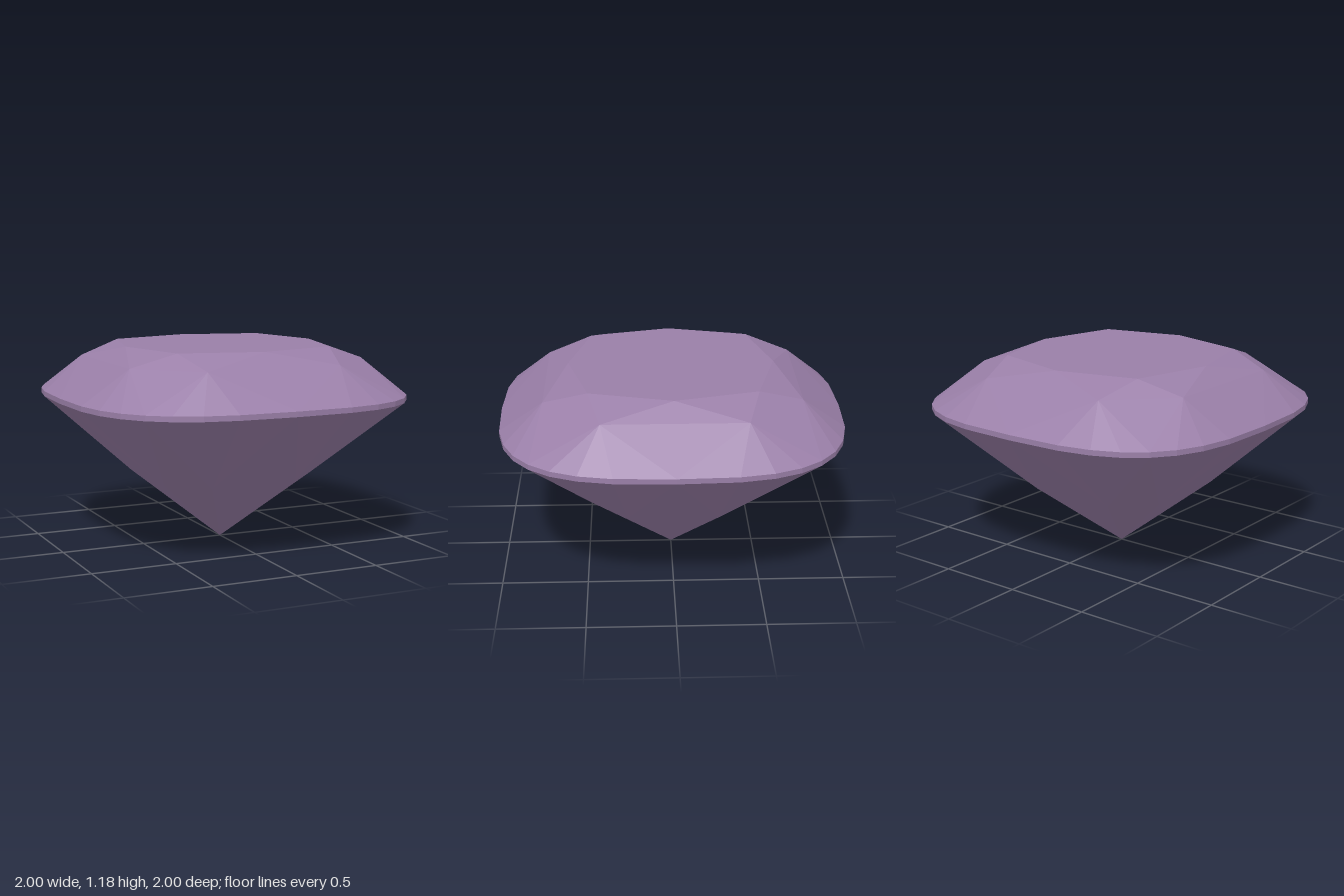
import * as THREE from 'three';

const SIDES = 32;

// Point on a cushion outline (superellipse), step counted in 32nds of a turn
function cushion(step, scale, y) {
  const a = ((step % SIDES) / SIDES) * Math.PI * 2;
  const round = v => Math.sign(v) * Math.pow(Math.abs(v), 2 / 3) * scale;
  return new THREE.Vector3(round(Math.sin(a)), y, round(Math.cos(a)));
}

// Unshared corners keep every facet flat
function facets(name, triangles, material) {
  const geometry = new THREE.BufferGeometry().setFromPoints(triangles.flat());
  geometry.computeVertexNormals();
  const mesh = new THREE.Mesh(geometry, material);
  mesh.name = name;
  return mesh;
}

export function createModel() {
  const gem = new THREE.Group();
  gem.name = 'cushionCutGem';
  const violet = new THREE.MeshStandardMaterial({ color: 0x9a7fa8, flatShading: true });
  violet.name = 'violet';

  const tablePoint = j => cushion(4 * j, 0.6, 1.18);
  const crownPoint = j => cushion(4 * j + 2 + SIDES, 0.77, 1.1);
  const girdleTop = i => cushion(i, 1, 0.9);
  const girdleLow = i => cushion(i, 1, 0.87);
  const pavilionPoint = j => cushion(4 * j + 2 + SIDES, 0.5, 0.4);
  const culet = new THREE.Vector3(0, 0, 0);

  const table = [], crown = [], girdle = [], pavilion = [];
  for (let j = 0; j < 8; j++) {
    // Flat top
    if (j > 0 && j < 7) table.push([tablePoint(0), tablePoint(j), tablePoint(j + 1)]);

    // Crown star and kite facets
    crown.push([tablePoint(j), crownPoint(j), tablePoint(j + 1)]);
    crown.push([tablePoint(j), crownPoint(j - 1), crownPoint(j)]);
    crown.push([crownPoint(j - 1), girdleTop(4 * j), crownPoint(j)]);

    // Pavilion main facets, down to the point
    pavilion.push([pavilionPoint(j), girdleLow(4 * j), pavilionPoint(j - 1)]);
    pavilion.push([culet, pavilionPoint(j), pavilionPoint(j - 1)]);

    // Narrow facets meeting the girdle, and the girdle band
    for (let i = 4 * j; i < 4 * j + 4; i++) {
      crown.push([crownPoint(j), girdleTop(i), girdleTop(i + 1)]);
      pavilion.push([pavilionPoint(j), girdleLow(i + 1), girdleLow(i)]);
      girdle.push([girdleLow(i), girdleLow(i + 1), girdleTop(i + 1)]);
      girdle.push([girdleLow(i), girdleTop(i + 1), girdleTop(i)]);
    }
  }

  gem.add(
    facets('table', table, violet),
    facets('crown', crown, violet),
    facets('girdle', girdle, violet),
    facets('pavilion', pavilion, violet)
  );
  return gem;
}
